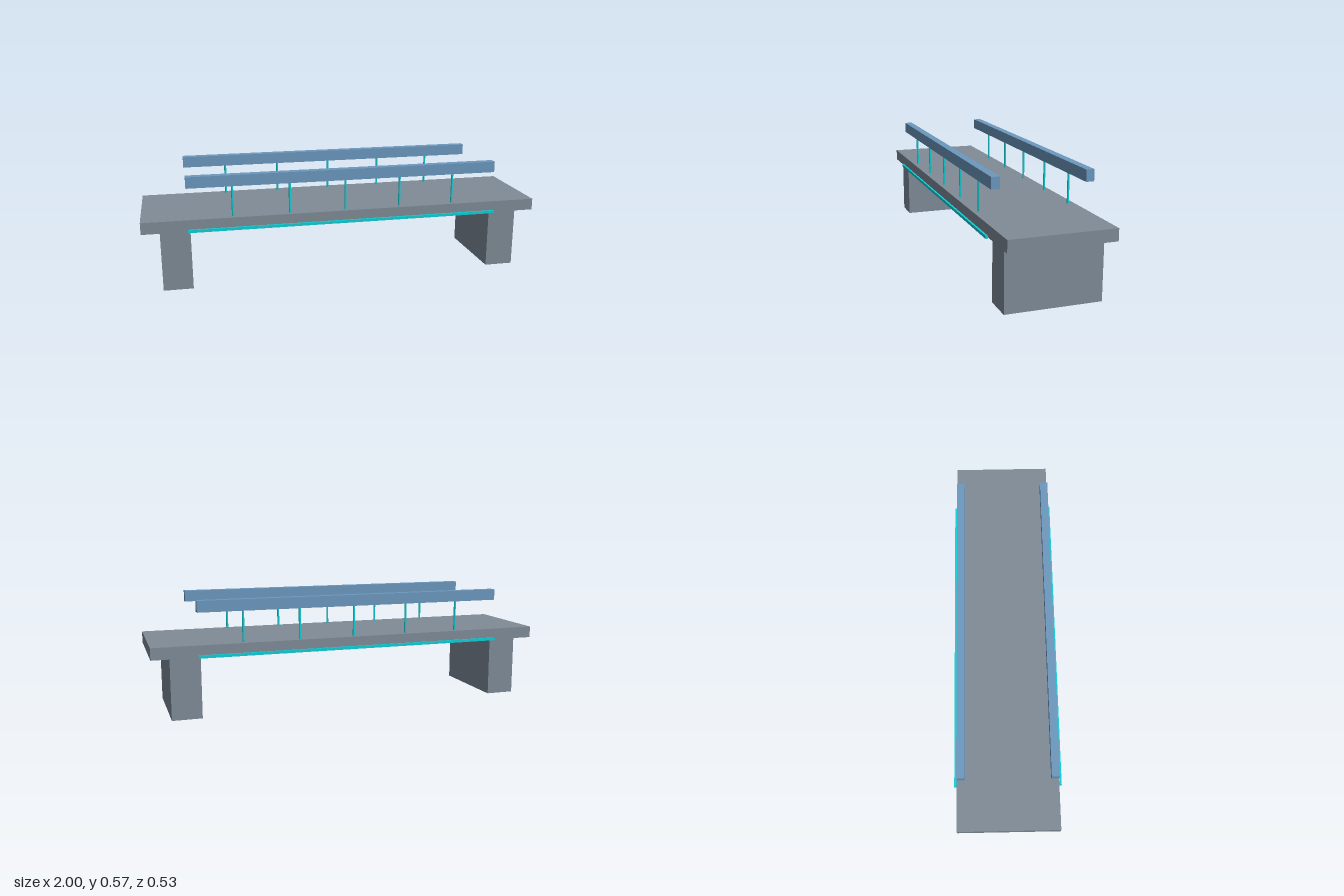
import * as THREE from 'three';

const concrete = new THREE.MeshStandardMaterial({ color: 0x808c98 });
const railBlue = new THREE.MeshStandardMaterial({ color: 0x6c99bf });
const cyan = new THREE.MeshStandardMaterial({ color: 0x12d0d8 });

export function createModel() {
  const bridge = new THREE.Group();
  bridge.name = 'footbridge';

  const add = (name, geometry, material, x, y, z) => {
    const mesh = new THREE.Mesh(geometry, material);
    mesh.name = name;
    mesh.position.set(x, y, z);
    bridge.add(mesh);
  };

  // Deck slab
  add('deck', new THREE.BoxGeometry(2, 0.058, 0.5), concrete, 0, 0.329, 0);

  // Supporting piers at both ends
  const pier = new THREE.BoxGeometry(0.145, 0.3, 0.46);
  for (const side of [-1, 1]) {
    add(side > 0 ? 'leftPier' : 'rightPier', pier, concrete, side * 0.84, 0.15, 0);
  }

  // Railings and light strips along both long edges
  const rail = new THREE.BoxGeometry(1.56, 0.055, 0.039);
  const strip = new THREE.BoxGeometry(1.56, 0.014, 0.01);
  const post = new THREE.CylinderGeometry(0.0056, 0.0056, 0.17, 8);
  for (const side of [-1, 1]) {
    const end = side > 0 ? 'front' : 'back';
    add(end + 'Handrail', rail, railBlue, 0, 0.5385, side * 0.2205);
    add(end + 'LightStrip', strip, cyan, 0, 0.305, side * 0.26);
    for (let i = -2; i <= 2; i++) {
      add(end + 'RailPost', post, cyan, i * 0.28, 0.435, side * 0.2205);
    }
  }
  return bridge;
}
